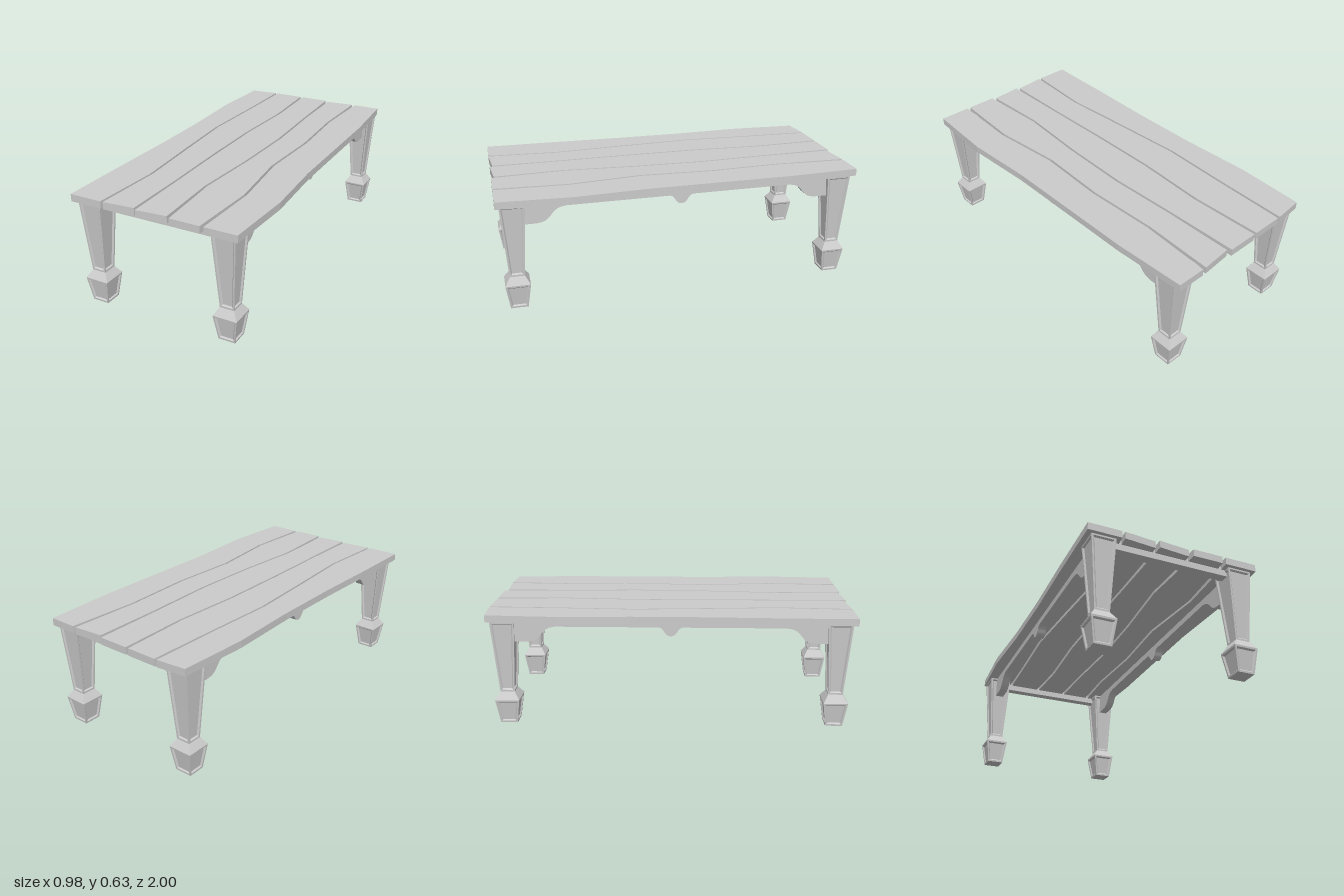
import * as THREE from 'three';

const material = new THREE.MeshStandardMaterial({ color: 0xcccccc, flatShading: true });
const LEG_X = [-0.395, 0.377];
const LEG_Z = [-0.897, 0.913];
const PLANK_Z = [-1, -0.6, -0.2, 0.2, 0.6, 1];

function addMesh(parent, name, geometry) {
  const mesh = new THREE.Mesh(geometry, material);
  mesh.name = name;
  parent.add(mesh);
  return mesh;
}

// Square tapered leg: stacked sections, two of them with recessed panels on each side
function legGeometry() {
  const pos = [];
  const quad = (a, b, c, d) => [a, b, c, a, c, d].forEach((p) => pos.push(p.x, p.y, p.z));
  const sections = [
    { y0: 0, h0: 0.047, y1: 0.14, h1: 0.067, panel: true },
    { y0: 0.14, h0: 0.067, y1: 0.183, h1: 0.04 },
    { y0: 0.183, h0: 0.04, y1: 0.592, h1: 0.067, panel: true },
  ];
  const up = new THREE.Vector3(0, 1, 0);
  for (const { y0, h0, y1, h1, panel } of sections) {
    // Corner ring of the face, shrunk by an inset and pushed in by a depth
    const ring = (inset, endInset, depth) => {
      const at = (y) => h0 + (h1 - h0) * (y - y0) / (y1 - y0);
      const a = y0 + endInset, b = y1 - endInset;
      const wa = at(a) - inset, wb = at(b) - inset;
      const za = at(a) - depth, zb = at(b) - depth;
      return [[-wa, a, za], [wa, a, za], [wb, b, zb], [-wb, b, zb]].map((p) => new THREE.Vector3(...p));
    };
    const rings = panel
      ? [ring(0, 0, 0), ring(0.009, 0.01, 0), ring(0.016, 0.017, 0.008)]
      : [ring(0, 0, 0)];
    for (let side = 0; side < 4; side++) {
      const turned = rings.map((r) => r.map((p) => p.clone().applyAxisAngle(up, side * Math.PI / 2)));
      for (let r = 0; r + 1 < turned.length; r++) {
        const o = turned[r], n = turned[r + 1];
        for (let i = 0; i < 4; i++) {
          const j = (i + 1) % 4;
          quad(o[i], o[j], n[j], n[i]);
        }
      }
      quad(...turned[turned.length - 1]);
    }
  }
  // Sole and top caps
  const cap = (y, h, s) => quad(...[[-h, -h], [h, -h], [h, h], [-h, h]]
    .map(([x, z]) => new THREE.Vector3(x, y, z * s)));
  cap(0, 0.047, 1);
  cap(0.592, 0.067, -1);
  const geometry = new THREE.BufferGeometry();
  geometry.setAttribute('position', new THREE.Float32BufferAttribute(pos, 3));
  geometry.computeVertexNormals();
  return geometry;
}

// Uneven board from its left and right edges; skew pulls one end corner in
function plankGeometry({ left, right, backLeft = -1, frontRight = 1 }) {
  const points = left.map((x, i) => new THREE.Vector2(x, i === 0 ? backLeft : PLANK_Z[i]));
  for (let i = 5; i >= 0; i--) {
    points.push(new THREE.Vector2(right[i], i === 5 ? frontRight : PLANK_Z[i]));
  }
  return new THREE.ExtrudeGeometry(new THREE.Shape(points), { depth: 0.04, bevelEnabled: false })
    .rotateX(Math.PI / 2).translate(0, 0.631, 0);
}

// Long rail with a curved bracket at each end and a small drop in the middle
function railGeometry() {
  const s = new THREE.Shape();
  s.moveTo(-0.86, 0.592);
  s.lineTo(-0.86, 0.47);
  s.lineTo(-0.78, 0.47);
  s.bezierCurveTo(-0.69, 0.475, -0.72, 0.55, -0.625, 0.556);
  s.lineTo(-0.065, 0.556);
  s.bezierCurveTo(-0.03, 0.55, -0.04, 0.508, 0, 0.506);
  s.bezierCurveTo(0.04, 0.508, 0.03, 0.55, 0.065, 0.556);
  s.lineTo(0.625, 0.556);
  s.bezierCurveTo(0.72, 0.55, 0.69, 0.475, 0.78, 0.47);
  s.lineTo(0.86, 0.47);
  s.lineTo(0.86, 0.592);
  return new THREE.ExtrudeGeometry(s, { depth: 0.05, bevelEnabled: false, curveSegments: 8 })
    .translate(0.008, 0, -0.025).rotateY(-Math.PI / 2);
}

export function createModel() {
  const table = new THREE.Group();
  table.name = 'plankTable';

  // Table top
  const planks = [
    { left: [-0.47, -0.49, -0.475, -0.475, -0.485, -0.49],
      right: [-0.305, -0.315, -0.332, -0.308, -0.28, -0.305], backLeft: -0.985 },
    { left: [-0.29, -0.303, -0.32, -0.295, -0.268, -0.29],
      right: [-0.115, -0.1, -0.122, -0.122, -0.115, -0.115], frontRight: 0.985 },
    { left: [-0.098, -0.087, -0.109, -0.109, -0.103, -0.098],
      right: [0.075, 0.085, 0.1, 0.088, 0.058, 0.075], frontRight: 0.985 },
    { left: [0.095, 0.098, 0.113, 0.1, 0.071, 0.095],
      right: [0.265, 0.25, 0.267, 0.246, 0.288, 0.265], backLeft: -0.985 },
    { left: [0.285, 0.263, 0.28, 0.26, 0.302, 0.285],
      right: [0.445, 0.465, 0.465, 0.465, 0.487, 0.465] },
  ];
  planks.forEach((p, i) => addMesh(table, `plank${i + 1}`, plankGeometry(p)));

  // Legs
  const leg = legGeometry();
  for (const x of LEG_X) {
    for (const z of LEG_Z) {
      const name = `${z > 0 ? 'front' : 'back'}${x > 0 ? 'Left' : 'Right'}Leg`;
      addMesh(table, name, leg).position.set(x, 0, z);
    }
  }

  // Shaped rails along the sides
  const rail = railGeometry();
  for (const x of LEG_X) addMesh(table, x > 0 ? 'leftRail' : 'rightRail', rail).position.x = x;

  // Plain beams across the ends
  const span = LEG_X[1] - LEG_X[0] - 0.11;
  for (const z of [-0.925, 0.92]) {
    addMesh(table, z > 0 ? 'frontBeam' : 'backBeam', new THREE.BoxGeometry(span, 0.055, 0.05))
      .position.set((LEG_X[0] + LEG_X[1]) / 2, 0.583, z);
  }
  return table;
}
